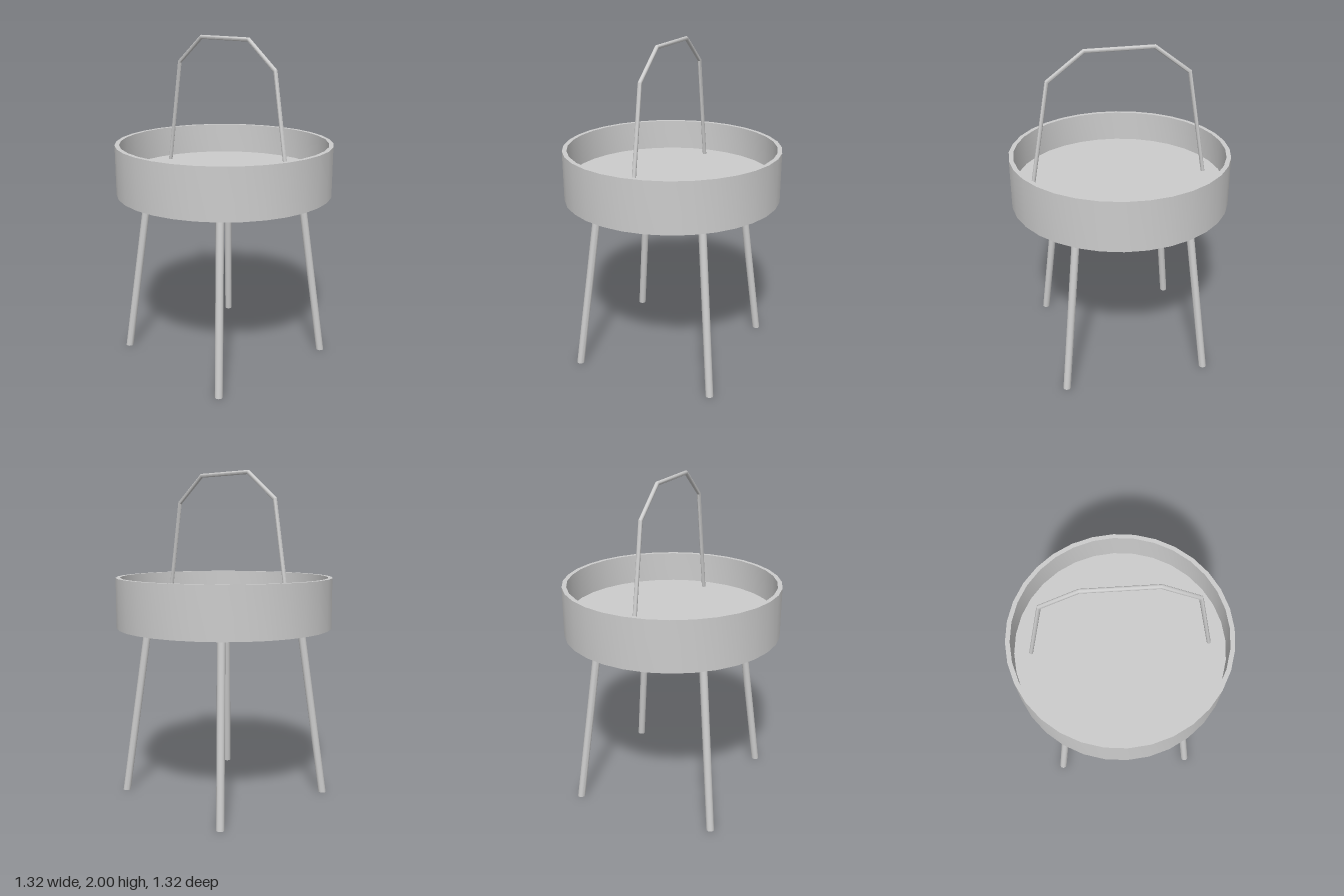
import * as THREE from 'three';
import { toCreasedNormals } from 'three/addons/utils/BufferGeometryUtils.js';

const material = new THREE.MeshStandardMaterial({ color: 0xcccccc });

function addMesh(group, name, geometry) {
  const mesh = new THREE.Mesh(toCreasedNormals(geometry, 0.7), material);
  mesh.name = name;
  group.add(mesh);
}

// Round rod through points in the xy plane, with mitred bends
function mitredRod(points, radius, sides) {
  const last = points.length - 1;
  const geometry = new THREE.CylinderGeometry(radius, radius, last, sides, last);
  const rings = points.map((p, i) => {
    const before = p.clone().sub(points[Math.max(i - 1, 0)]).normalize();
    const after = points[Math.min(i + 1, last)].clone().sub(p).normalize();
    const t = before.clone().add(after).normalize();
    const stretch = 1 / t.dot(i < last ? after : before);
    return { p, side: new THREE.Vector2(t.y, -t.x).multiplyScalar(stretch) };
  });
  const pos = geometry.attributes.position;
  for (let i = 0; i < pos.count; i++) {
    const { p, side } = rings[Math.round(pos.getY(i) + last / 2)];
    const x = pos.getX(i);
    pos.setXY(i, p.x + side.x * x, p.y + side.y * x);
  }
  return geometry;
}

export function createModel() {
  const group = new THREE.Group();

  // Round tray: underside, outer wall, rim, inner wall and raised floor
  const bottom = 1.065, top = 1.37, floor = 1.18, outer = 0.661, inner = 0.634;
  const profile = [[0, bottom], [outer, bottom], [outer, top], [inner, top], [inner, floor], [0, floor]];
  addMesh(group, 'tray', new THREE.LatheGeometry(profile.map(([x, y]) => new THREE.Vector2(x, y)), 32));

  // Four splayed legs, cut level at the ground
  const legTop = 1.09, footOffset = 0.443, lean = 0.102;
  for (const sx of [-1, 1]) {
    for (const sz of [-1, 1]) {
      const leg = new THREE.CylinderGeometry(0.0235, 0.0235, legTop, 16);
      leg.translate(0, legTop / 2, 0);
      const pos = leg.attributes.position;
      for (let i = 0; i < pos.count; i++) {
        const offset = footOffset - lean * pos.getY(i);
        pos.setX(i, pos.getX(i) + sx * offset);
        pos.setZ(i, pos.getZ(i) + sz * offset);
      }
      addMesh(group, `${sz > 0 ? 'front' : 'back'}${sx > 0 ? 'Left' : 'Right'}Leg`, leg);
    }
  }

  // Angular carrying handle rising from the tray floor
  const half = [[0.533, floor], [0.419, 1.827], [0.205, 1.988]];
  const path = [...half.map(([x, y]) => [-x, y]), ...half.slice().reverse()];
  addMesh(group, 'handle', mitredRod(path.map(([x, y]) => new THREE.Vector2(x, y)), 0.012, 12));

  return group;
}
